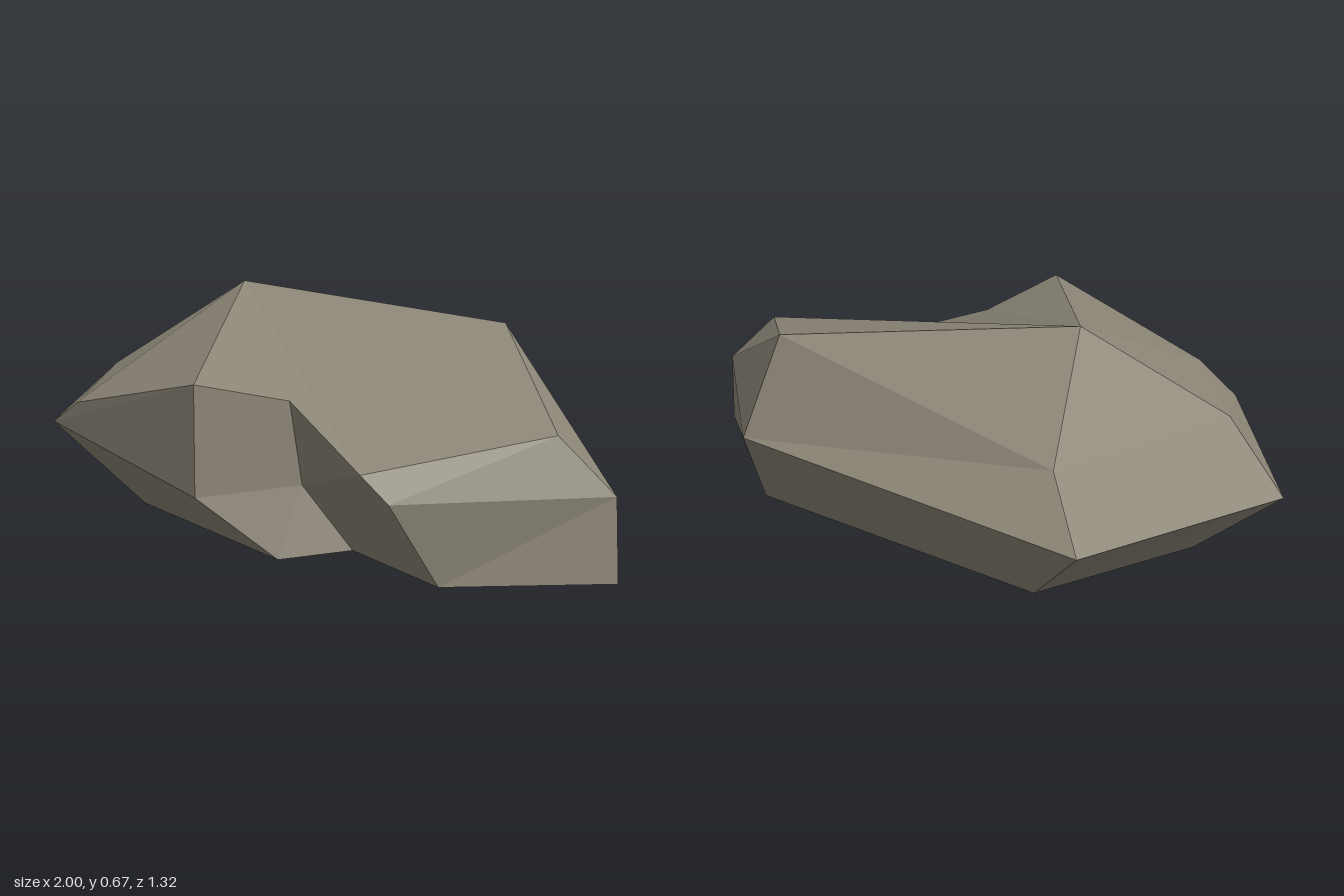
import * as THREE from 'three';

// Three eight-cornered rings, each running left -> front -> right -> back
const base = [
  [-0.78, 0, 0.15], [-0.4, 0, 0.44], [0.25, 0, 0.41], [0.34, 0, 0.2],
  [0.69, 0, 0.2], [1, 0, -0.19], [0.4, 0, -0.51], [-0.61, 0, -0.37],
];
const waist = [
  [-1, 0.2, 0.255], [-0.58, 0.28, 0.655], [0.145, 0.21, 0.62], [0.235, 0.2, 0.305],
  [0.63, 0.255, 0.335], [0.97, 0.245, -0.2], [0.29, 0.285, -0.66], [-0.84, 0.24, -0.48],
];
const shoulder = [
  [-0.78, 0.376, 0.295], [-0.44, 0.37, 0.645], [0.155, 0.54, 0.62], [0.23, 0.46, 0.345],
  [0.55, 0.325, 0.365], [0.83, 0.405, -0.11], [0.28, 0.575, -0.51], [-0.65, 0.38, -0.35],
];
const peak = [-0.48, 0.665, -0.04];

// Joins two rings with facets; flipped lists quads split along the other diagonal
function band(lower, upper, flipped = []) {
  return lower.flatMap((a, i) => {
    const j = (i + 1) % lower.length;
    const b = lower[j], c = upper[j], d = upper[i];
    return flipped.includes(i) ? [a, b, d, b, c, d] : [a, b, c, a, c, d];
  });
}

// Closes a ring towards one point
function cap(ring, point) {
  return ring.flatMap((a, i) => [a, ring[(i + 1) % ring.length], point]);
}

// Flat underside fanned from the inner corner of the notch
function underside(ring, hub) {
  const n = ring.length, corners = [];
  for (let i = 1; i < n - 1; i++) {
    corners.push(ring[hub], ring[(hub + i + 1) % n], ring[(hub + i) % n]);
  }
  return corners;
}

export function createModel() {
  const stone = new THREE.MeshStandardMaterial({ color: 0x8c8677, flatShading: true });
  stone.name = 'stone';
  const rock = new THREE.Group();
  rock.name = 'rock';

  const add = (name, corners) => {
    const geometry = new THREE.BufferGeometry();
    geometry.setAttribute('position', new THREE.Float32BufferAttribute(corners.flat(), 3));
    geometry.computeVertexNormals();
    const mesh = new THREE.Mesh(geometry, stone);
    mesh.name = name;
    rock.add(mesh);
  };

  add('underside', underside(base, 3));
  add('lowerSides', band(base, waist));
  add('upperSides', band(waist, shoulder, [0]));
  add('crown', cap(shoulder, peak));
  return rock;
}
